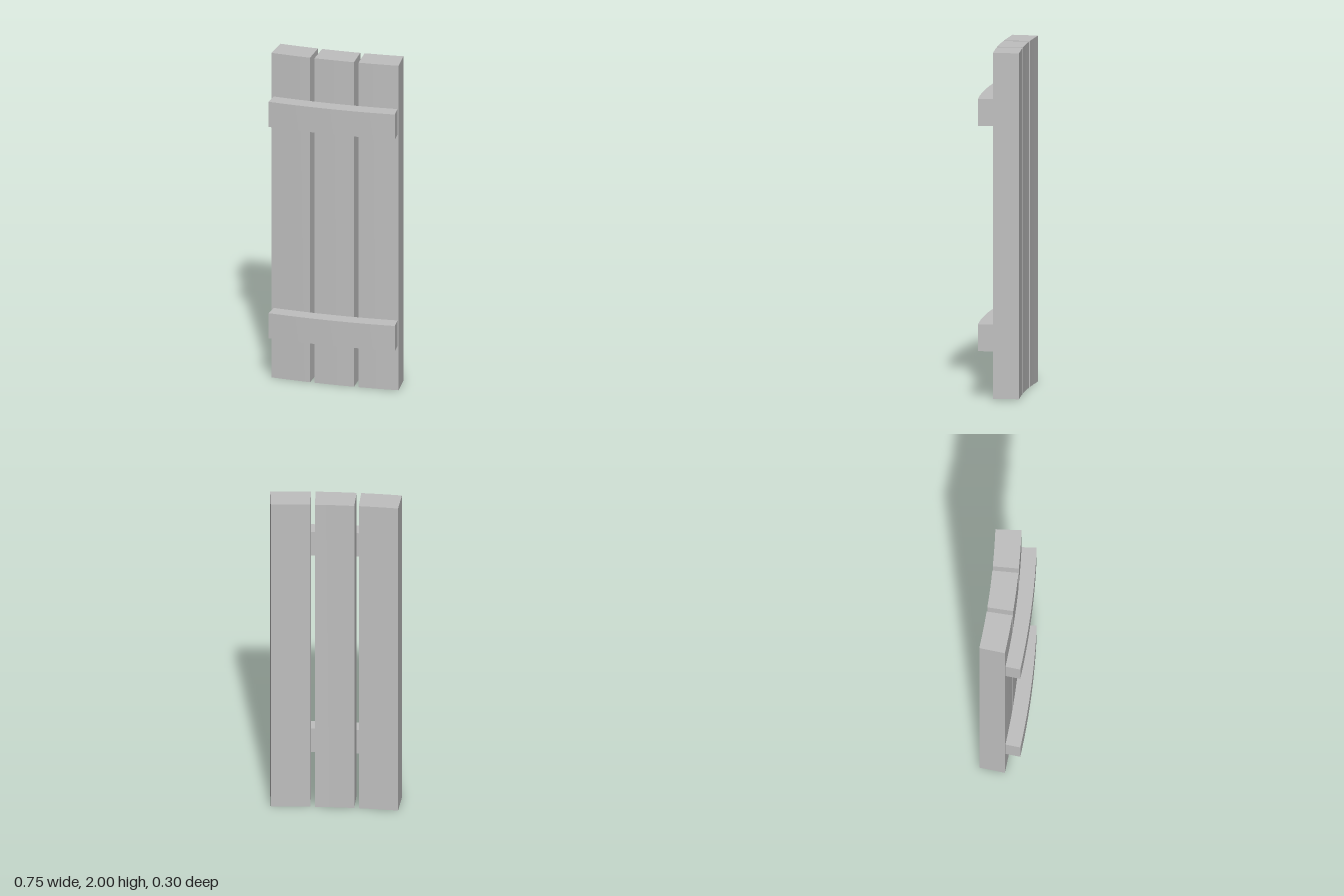
import * as THREE from 'three';
import { toCreasedNormals } from 'three/addons/utils/BufferGeometryUtils.js';

// All parts follow arcs around one vertical axis, far behind the right-hand edge
const CX = 0.376, CZ = -4.267;

// Sector between two radii and two angles, extruded upward from y0 to y1
function curvedBar(rIn, rOut, a0, a1, y0, y1, segments) {
  const point = (r, t) => {
    const a = a0 + (a1 - a0) * t;
    return new THREE.Vector2(CX - r * Math.sin(a), -(CZ + r * Math.cos(a)));
  };
  const points = [];
  for (let i = 0; i <= segments; i++) points.push(point(rOut, i / segments));
  for (let i = segments; i >= 0; i--) points.push(point(rIn, i / segments));
  const geo = new THREE.ExtrudeGeometry(new THREE.Shape(points), { depth: y1 - y0, bevelEnabled: false });
  geo.rotateX(-Math.PI / 2);
  geo.translate(0, y0, 0);
  return toCreasedNormals(geo, 0.5);
}

export function createModel() {
  const model = new THREE.Group();
  model.name = 'curvedPlankPanel';
  const grey = new THREE.MeshStandardMaterial({ color: 0xbfbfbf });
  grey.name = 'plain grey';

  const add = (name, geo) => {
    const mesh = new THREE.Mesh(geo, grey);
    mesh.name = name;
    model.add(mesh);
  };

  // Three upright planks with narrow gaps
  const width = 0.0542, pitch = 0.0603;
  ['leftPlank', 'middlePlank', 'rightPlank'].forEach((name, i) => {
    add(name, curvedBar(4.18, 4.33, i * pitch, i * pitch + width, 0, 2, 4));
  });

  // Two curved battens across the front
  add('lowerBatten', curvedBar(4.33, 4.417, 0.0014, 0.1711, 0.275, 0.43, 12));
  add('upperBatten', curvedBar(4.33, 4.417, 0.0014, 0.1711, 1.578, 1.733, 12));

  return model;
}
